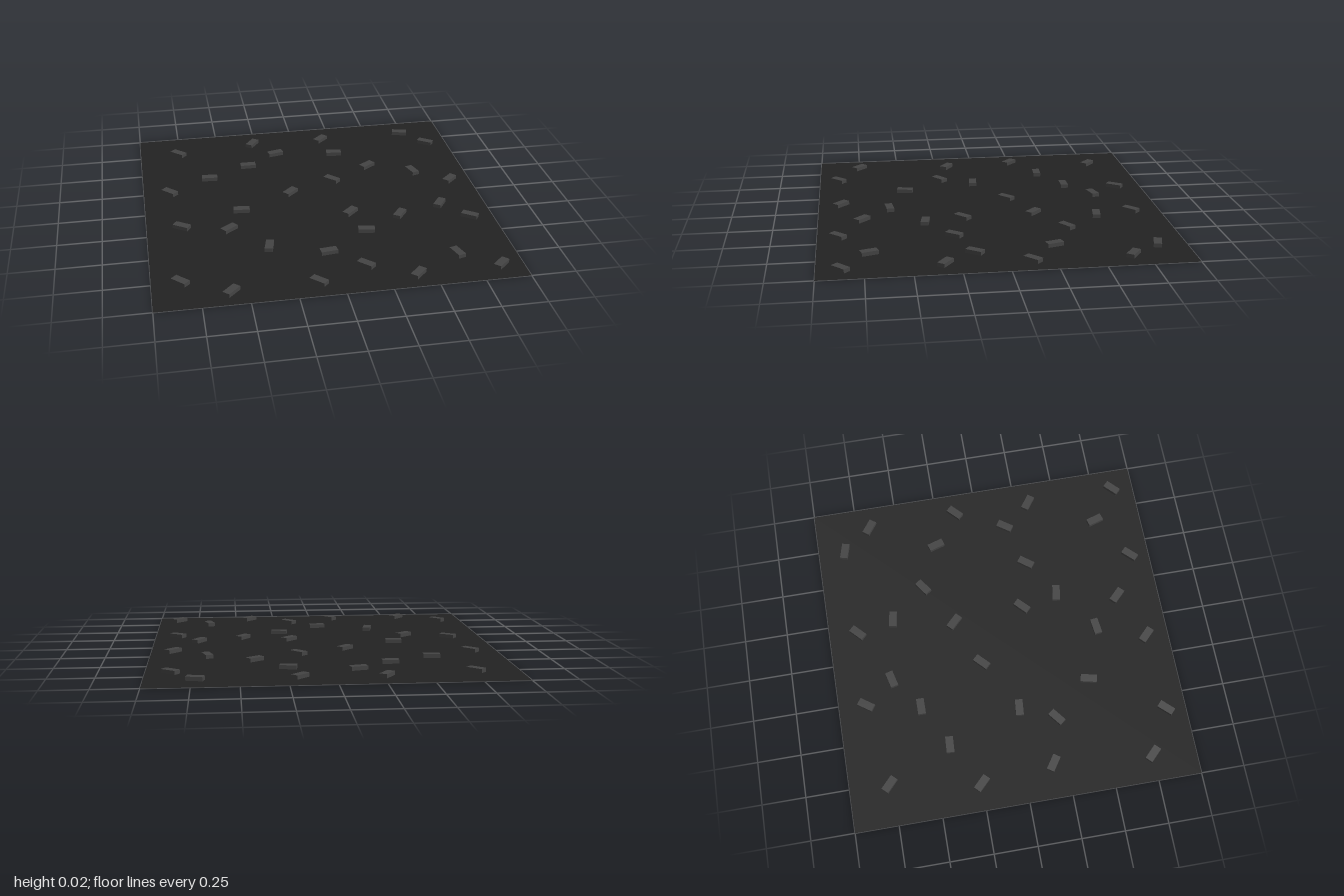
import * as THREE from 'three';

// x, z, turn in degrees for each raised block
const BLOCKS = [
  [-0.76, -0.77, -43], [-0.27, -0.84, 55], [-0.14, -0.67, 14], [0.185, -0.83, 44],
  [0.73, -0.84, -15], [0.865, -0.67, -36], [0.235, -0.61, -9], [-0.335, -0.525, 0],
  [-0.59, -0.395, -3], [0.41, -0.4, 35], [0.675, -0.28, -73], [0.155, -0.25, -45],
  [-0.845, -0.25, -45], [-0.125, -0.13, 44], [0.875, -0.13, 44], [-0.44, 0.04, -5],
  [-0.8, 0.175, -34], [-0.535, 0.245, 38], [0.185, 0.17, 44], [0.465, 0.245, 53],
  [0.73, 0.16, 55], [0.865, 0.33, -36], [0.235, 0.39, -9], [-0.335, 0.475, 77],
  [-0.02, 0.585, 7], [-0.845, 0.75, -45], [0.155, 0.75, -45], [0.675, 0.72, -73],
  [-0.59, 0.885, 47], [-0.125, 0.87, -45], [0.41, 0.885, 46], [0.875, 0.87, 44],
];

export function createModel() {
  const group = new THREE.Group();
  group.name = 'groundTile';

  const asphalt = new THREE.MeshStandardMaterial({ color: 0x222222, side: THREE.DoubleSide });
  asphalt.name = 'dark asphalt';
  const stone = new THREE.MeshStandardMaterial({ color: 0x444444 });
  stone.name = 'grey stone';

  // Flat square sheet
  const ground = new THREE.Mesh(new THREE.PlaneGeometry(2, 2).rotateX(-Math.PI / 2), asphalt);
  ground.name = 'ground';
  group.add(ground);

  // Low scattered blocks resting on the sheet
  const height = 0.022;
  const blockGeometry = new THREE.BoxGeometry(0.095, height, 0.045).translate(0, height / 2, 0);
  const blocks = new THREE.Group();
  blocks.name = 'blocks';
  BLOCKS.forEach(([x, z, turn], i) => {
    const block = new THREE.Mesh(blockGeometry, stone);
    block.name = `block${i + 1}`;
    block.position.set(x, 0, z);
    block.rotation.y = THREE.MathUtils.degToRad(turn);
    blocks.add(block);
  });
  group.add(blocks);

  return group;
}
